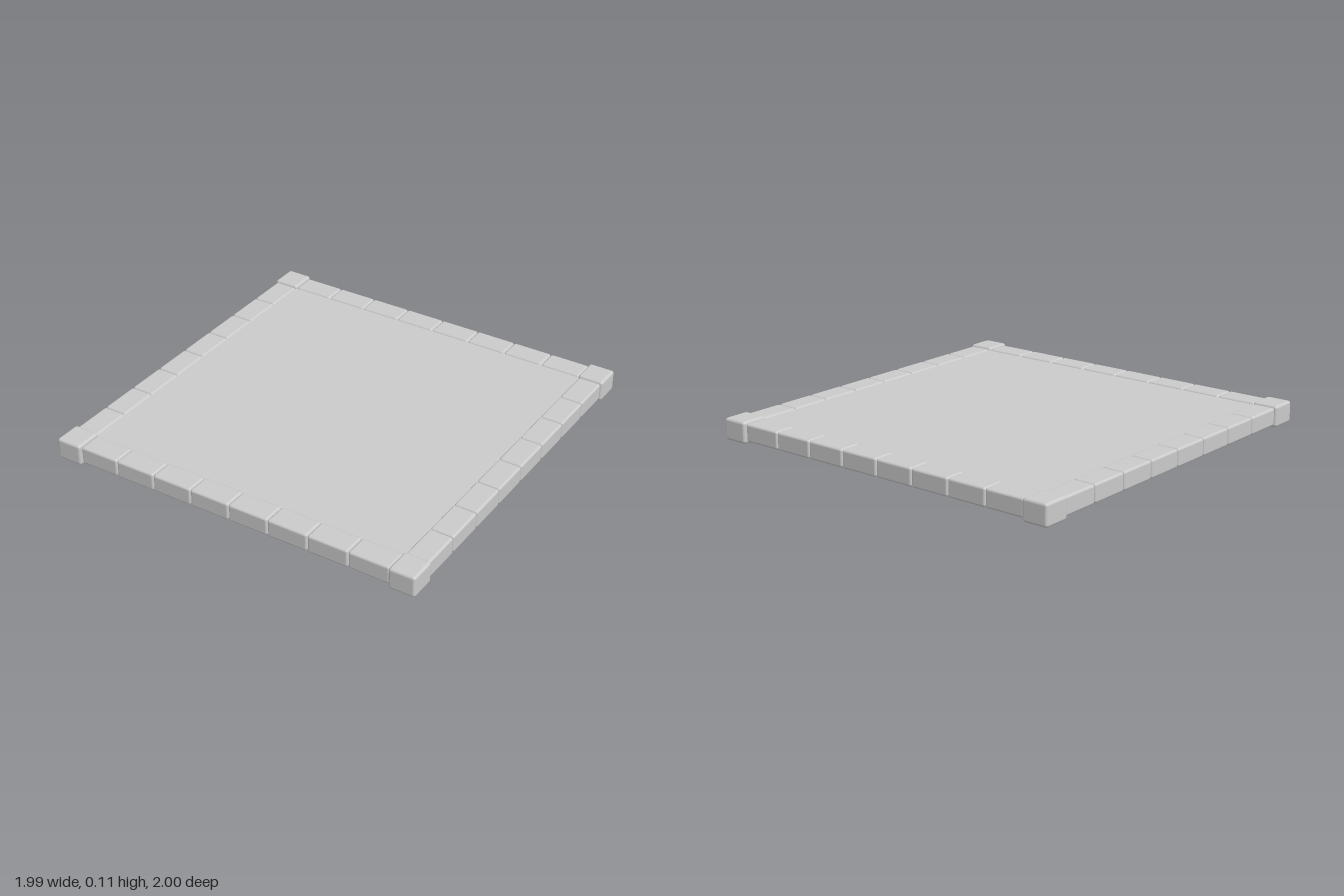
import * as THREE from 'three';
import { RoundedBoxGeometry } from 'three/addons/geometries/RoundedBoxGeometry.js';

export function createModel() {
  const model = new THREE.Group();
  const material = new THREE.MeshStandardMaterial({ color: 0xcccccc });

  function add(name, geometry, x, y, z, parent = model) {
    const mesh = new THREE.Mesh(geometry, material);
    mesh.name = name;
    mesh.position.set(x, y, z);
    parent.add(mesh);
    return mesh;
  }

  // Floor slab, set slightly below the rim on top and recessed underneath
  add('floorSlab', new THREE.BoxGeometry(1.8, 0.06, 1.8), 0, 0.065, 0);

  // Rim of eight rounded bricks along each side
  const count = 8, pitch = 0.215, rim = 0.925;
  const brick = new RoundedBoxGeometry(pitch - 0.002, 0.092, 0.122, 2, 0.012);
  ['front', 'left', 'back', 'right'].forEach((side, i) => {
    const row = new THREE.Group();
    row.name = side + 'Rim';
    row.rotation.y = i * Math.PI / 2;
    for (let k = 0; k < count; k++) {
      add('rimBrick', brick, (k - (count - 1) / 2) * pitch, 0.057, rim, row);
    }
    model.add(row);
  });

  // Larger corner blocks
  const corner = new RoundedBoxGeometry(0.138, 0.112, 0.144, 2, 0.015);
  for (const sx of [-1, 1]) {
    for (const sz of [-1, 1]) {
      add('cornerBlock', corner, sx * 0.927, 0.056, sz * 0.928);
    }
  }
  return model;
}
